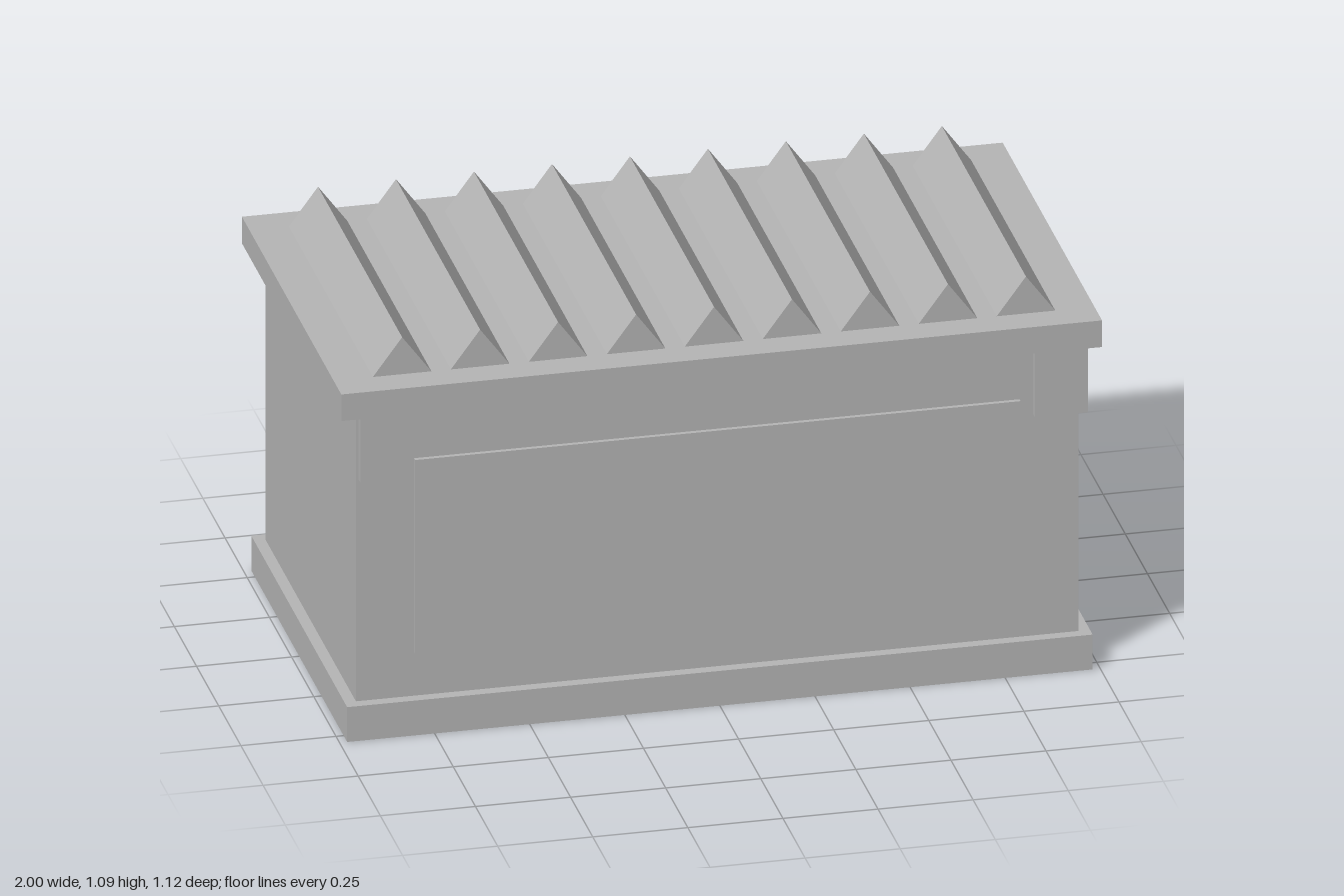
import * as THREE from 'three';

export function createModel() {
  const model = new THREE.Group();
  model.name = 'ridgedChest';
  const grey = new THREE.MeshStandardMaterial({ color: 0xb4b4b4 });
  grey.name = 'grey';

  // Box given by its lower and upper limits on each axis
  const box = (name, [x0, x1], [y0, y1], [z0, z1]) => {
    const mesh = new THREE.Mesh(new THREE.BoxGeometry(x1 - x0, y1 - y0, z1 - z0), grey);
    mesh.position.set((x0 + x1) / 2, (y0 + y1) / 2, (z0 + z1) / 2);
    mesh.name = name;
    model.add(mesh);
  };

  box('base', [-0.98, 0.98], [0, 0.098], [-0.54, 0.54]);
  box('body', [-0.95, 0.95], [0.098, 0.915], [-0.51, 0.51]);
  box('lid', [-1, 1], [0.915, 0.99], [-0.56, 0.56]);
  box('frontPanel', [-0.797, 0.795], [0.22, 0.767], [0.5, 0.522]);

  // Corner brackets under the lid; only the left one wraps past the side wall
  box('rightBracket', [-0.943, -0.835], [0.722, 0.915], [0.39, 0.532]);
  box('leftBracket', [0.83, 0.97], [0.722, 0.915], [0.39, 0.532]);

  // Row of triangular ridges across the lid
  const profile = new THREE.Shape();
  profile.moveTo(-0.077, 0);
  profile.lineTo(0.077, 0);
  profile.lineTo(0, 0.104);
  profile.closePath();
  const ridgeGeometry = new THREE.ExtrudeGeometry(profile, { depth: 0.948, bevelEnabled: false });
  ridgeGeometry.translate(0, 0, -0.474);
  const ridges = new THREE.Group();
  ridges.name = 'lidRidges';
  for (let i = -4; i <= 4; i++) {
    const ridge = new THREE.Mesh(ridgeGeometry, grey);
    ridge.name = 'ridge';
    ridge.position.set(i * 0.205, 0.99, 0);
    ridges.add(ridge);
  }
  model.add(ridges);

  return model;
}
